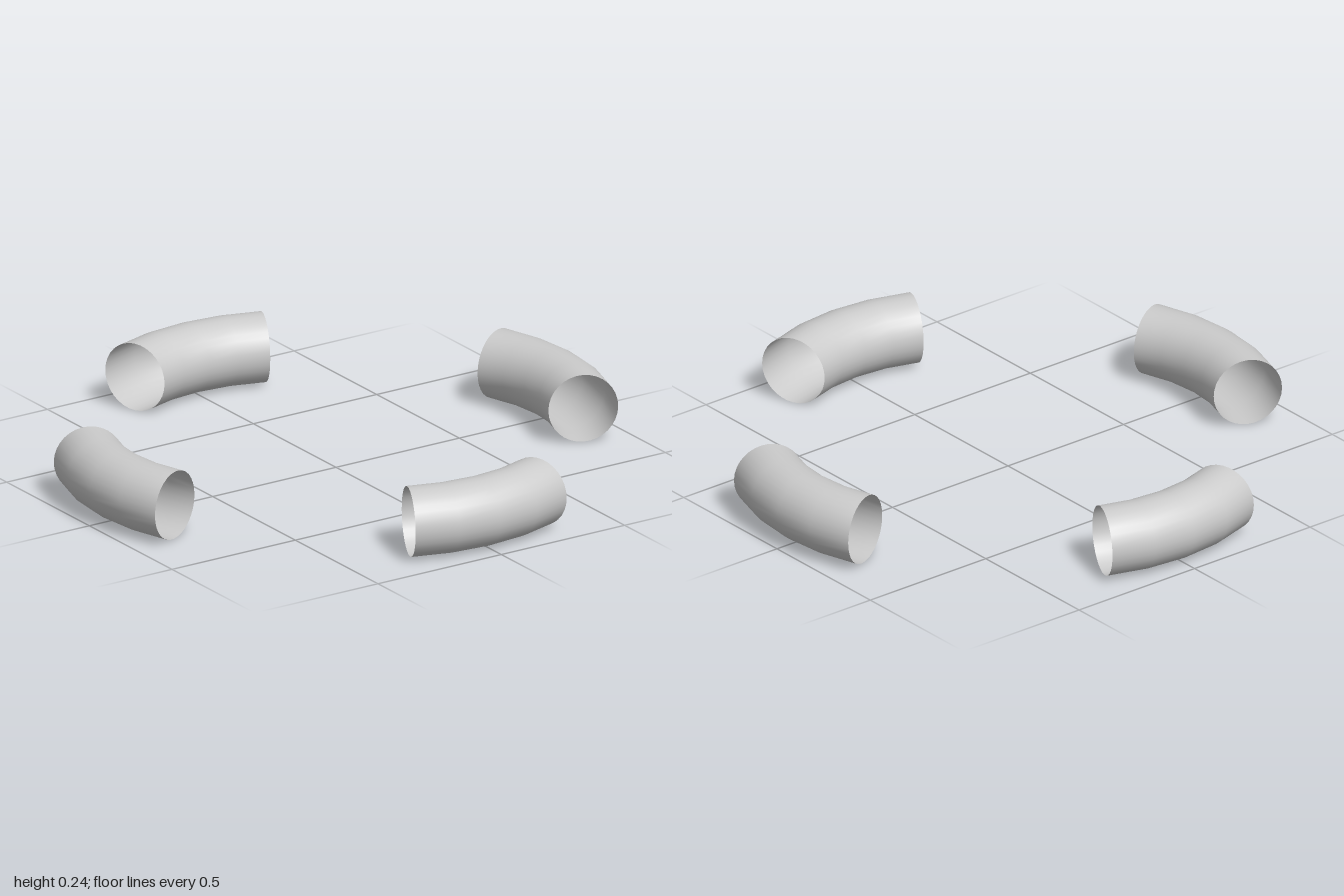
import * as THREE from 'three';

const TUBE = 0.12;   // pipe radius
const BEND = 0.68;   // centreline radius of each bend
const ARC = Math.PI / 4;

export function createModel() {
  const model = new THREE.Group();
  model.name = 'pipeBends';
  const material = new THREE.MeshStandardMaterial({ color: 0xcccccc, side: THREE.DoubleSide });

  // One open 45 degree bend, lying flat and centred on +x
  const bend = new THREE.TorusGeometry(BEND, TUBE, 32, 4, ARC);
  bend.rotateZ(-ARC / 2);
  bend.rotateX(Math.PI / 2);
  bend.translate(1 - BEND - TUBE, TUBE, 0);

  // Four bends around the centre
  ['leftBend', 'backBend', 'rightBend', 'frontBend'].forEach((name, i) => {
    const mesh = new THREE.Mesh(bend, material);
    mesh.name = name;
    mesh.rotation.y = i * Math.PI / 2;
    model.add(mesh);
  });
  return model;
}
